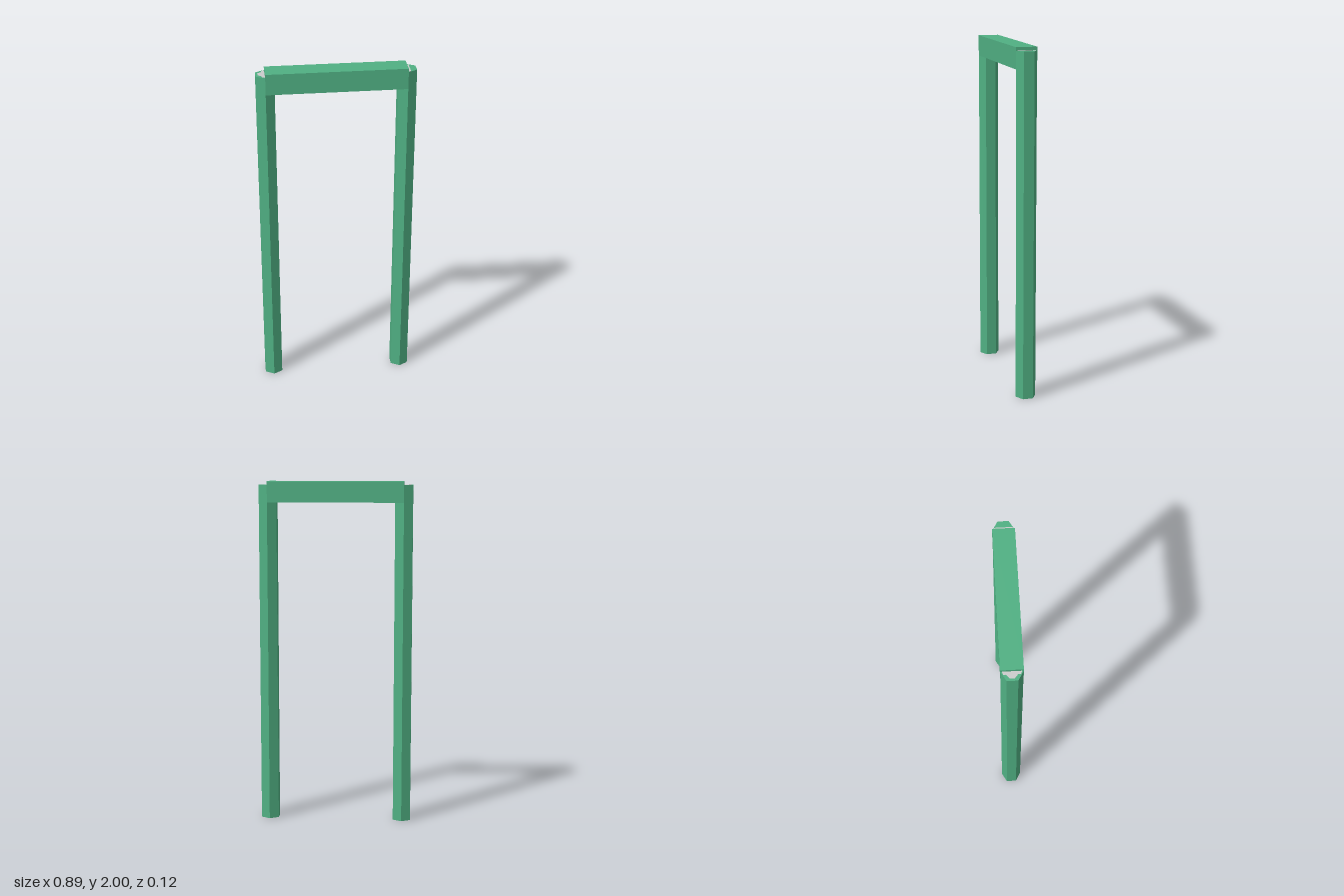
import * as THREE from 'three';

export function createModel() {
  const group = new THREE.Group();
  const green = new THREE.MeshStandardMaterial({ color: 0x50b083, flatShading: true });
  const grey = new THREE.MeshStandardMaterial({ color: 0xcccccc, flatShading: true });

  const add = (name, geometry, material, x, y, z) => {
    const mesh = new THREE.Mesh(geometry, material);
    mesh.name = name;
    mesh.position.set(x, y, z);
    group.add(mesh);
    return mesh;
  };

  // Hexagonal posts, one corner facing the front
  const postHeight = 1.98, postX = 0.393;
  const postGeometry = new THREE.CylinderGeometry(0.059, 0.059, postHeight, 6);
  add('leftPost', postGeometry, green, postX, postHeight / 2, 0);
  add('rightPost', postGeometry, green, -postX, postHeight / 2, 0);

  // Square crossbeam ending over the post centres
  add('crossbeam', new THREE.BoxGeometry(postX * 2, 0.12, 0.12), green, 0, 1.94, 0);

  // Thin grey inlays on the exposed post tops, outlined as [x, z] halves
  const inlay = (name, half) => {
    const outline = [...half, ...half.map(([x, z]) => [x, -z]).reverse()];
    const shape = new THREE.Shape(outline.map(([x, z]) => new THREE.Vector2(x, z)));
    const geometry = new THREE.ExtrudeGeometry(shape, { depth: 0.001, bevelEnabled: false });
    geometry.rotateX(-Math.PI / 2);
    add(name, geometry, grey, 0, postHeight, 0);
  };
  inlay('leftTopInlay', [[0.39, 0.052], [0.408, 0.048]]);
  inlay('rightTopInlay', [[-0.39, 0.052], [-0.41, 0.045], [-0.41, 0.03], [-0.432, 0.012]]);

  return group;
}
